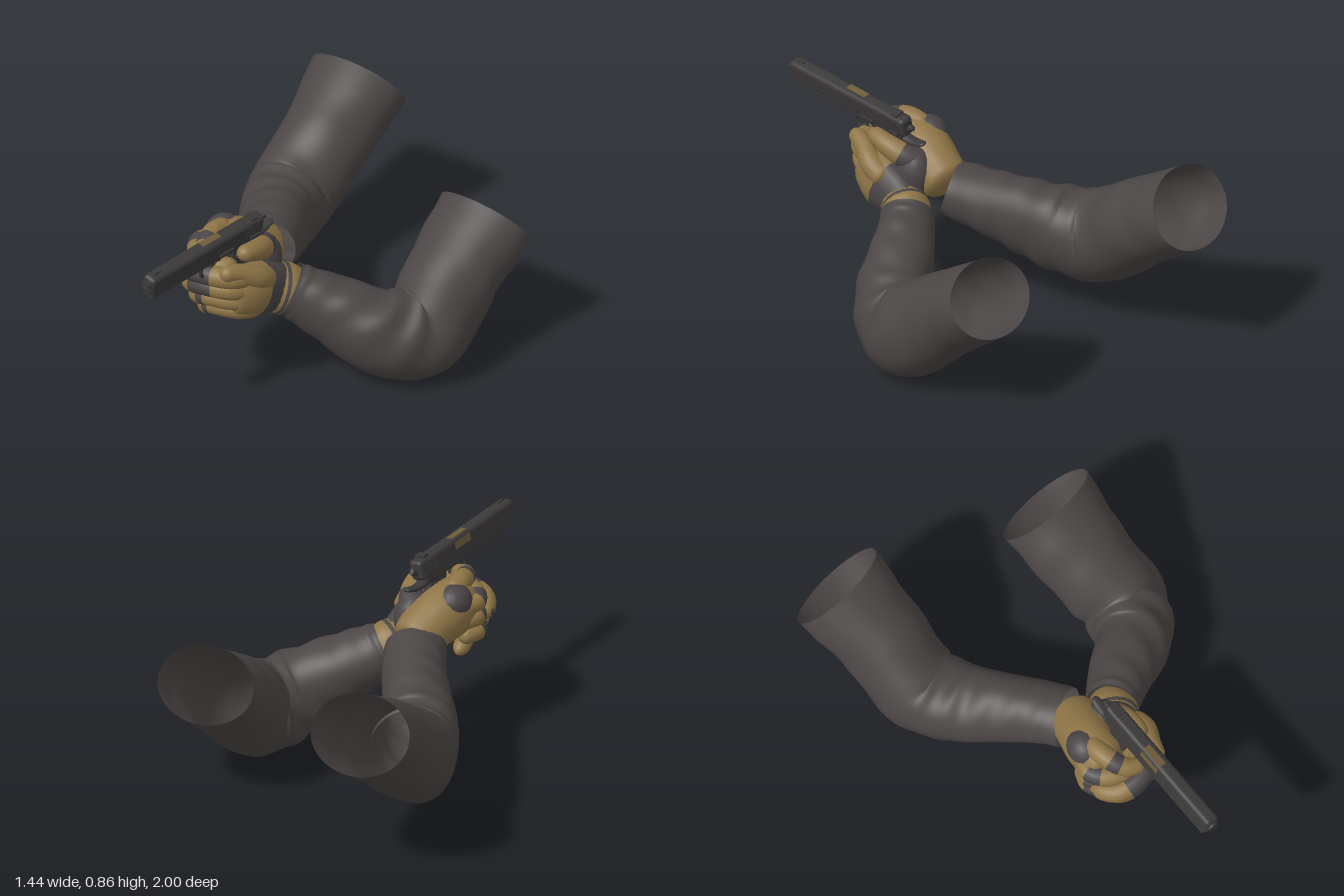
import * as THREE from 'three';
import { RoundedBoxGeometry } from 'three/addons/geometries/RoundedBoxGeometry.js';

const mat = (name, color, side = THREE.FrontSide) => {
  const m = new THREE.MeshStandardMaterial({ color, side });
  m.name = name;
  return m;
};

// Elliptical sweep through rows of [x, y, z, halfWidth, halfHeight].
// round closes the ends; band(u) picks a material; ripple(u, angle) adds folds.
function sweep(rows, { rings = 24, sides = 16, round = 0, band, ripple = () => 0 } = {}) {
  const path = new THREE.CatmullRomCurve3(rows.map(r => new THREE.Vector3(r[0], r[1], r[2])));
  const size = new THREE.CatmullRomCurve3(rows.map(r => new THREE.Vector3(r[3], r[4] ?? r[3], 0)));
  const up = new THREE.Vector3(0, 1, 0), pos = [], index = [];
  const geo = new THREE.BufferGeometry();
  for (let i = 0; i <= rings; i++) {
    const u = round ? (1 - Math.cos(Math.PI * i / rings)) / 2 : i / rings;
    const c = path.getPoint(u), t = path.getTangent(u), s = size.getPoint(u);
    const side = t.clone().cross(up).normalize(), top = side.clone().cross(t);
    const e = round ? Math.min(1, Math.min(u, 1 - u) / round) : 1;
    const cap = Math.max(0.001, Math.sqrt(1 - (1 - e) ** 2));
    for (let j = 0; j < sides; j++) {
      const a = j / sides * Math.PI * 2, w = ripple(u, a);
      const p = c.clone().addScaledVector(side, Math.cos(a) * (s.x * cap + w))
        .addScaledVector(top, Math.sin(a) * (s.y * cap + w));
      pos.push(p.x, p.y, p.z);
    }
  }
  for (let i = 0; i < rings; i++) {
    if (band) {
      const v = (i + 0.5) / rings;
      geo.addGroup(index.length, sides * 6, band(round ? (1 - Math.cos(Math.PI * v)) / 2 : v));
    }
    for (let j = 0; j < sides; j++) {
      const a = i * sides + j, b = i * sides + (j + 1) % sides, c = a + sides, d = b + sides;
      index.push(a, c, b, b, c, d);
    }
  }
  geo.setAttribute('position', new THREE.Float32BufferAttribute(pos, 3));
  geo.setIndex(index);
  geo.computeVertexNormals();
  return geo;
}

export function createModel() {
  const model = new THREE.Group();
  model.name = 'armsHoldingPistol';
  const cloth = mat('sleeveCloth', 0x4c4646, THREE.DoubleSide);
  const dark = mat('gloveDark', 0x4a4546);
  const tan = mat('gloveTan', 0x8f7547);
  const steel = mat('gunSteel', 0x3c3939);
  const brass = mat('ejectionPort', 0x6f5d3a);
  const add = (parent, name, geo, material, x = 0, y = 0, z = 0) => {
    const m = new THREE.Mesh(geo, material);
    m.name = name;
    m.position.set(x, y, z);
    parent.add(m);
    return m;
  };

  // Sleeves, open at the shoulder and wrist, with slanting folds
  const folds = seed => (u, a) => {
    const bunch = 0.3 + 0.7 * Math.exp(-(((u - 0.42) / 0.2) ** 2));
    const patch = 0.5 + 0.5 * Math.sin(a * 2 + 5 * u + seed);
    return 0.009 * bunch * patch * Math.sin(48 * u + 3 * Math.sin(a + seed) + seed)
      + 0.005 * Math.sin(3 * a + 9 * u + seed) * Math.sin(Math.PI * u);
  };
  const sleeve = (name, rows, seed) => add(model, name,
    sweep(rows, { rings: 100, sides: 56, ripple: folds(seed) }), cloth);
  sleeve('leftSleeve', [
    [0.47, 0.545, -0.665, 0.23, 0.172], [0.49, 0.385, -0.44, 0.208, 0.185],
    [0.52, 0.215, -0.2, 0.19, 0.212], [0.44, 0.245, -0.04, 0.165, 0.195],
    [0.28, 0.35, 0.08, 0.14, 0.155], [0.17, 0.42, 0.165, 0.12, 0.128],
    [0.13, 0.445, 0.2, 0.115, 0.12]], 0.6);
  sleeve('rightSleeve', [
    [-0.49, 0.70, -0.895, 0.23, 0.18], [-0.45, 0.54, -0.65, 0.2, 0.19],
    [-0.425, 0.37, -0.4, 0.19, 0.205], [-0.34, 0.385, -0.24, 0.17, 0.19],
    [-0.24, 0.44, -0.11, 0.15, 0.16], [-0.14, 0.49, 0.02, 0.138, 0.135],
    [-0.065, 0.53, 0.14, 0.132, 0.12]], 2.1);

  const gloves = new THREE.Group();
  gloves.name = 'gloves';
  model.add(gloves);
  const two = [tan, dark];
  const glove = (name, rows, band, round = 0.12) => add(gloves, name,
    sweep(rows, { rings: 32, sides: 18, round, band }), two);
  const pad = (name, x, y, z, sx, sy, sz, material = dark) =>
    add(gloves, name, new THREE.SphereGeometry(1, 18, 12), material, x, y, z).scale.set(sx, sy, sz);

  // Wrist band
  glove('leftWristBand', [[0.16, 0.425, 0.165, 0.095], [0.12, 0.45, 0.22, 0.108, 0.118], [0.09, 0.47, 0.27, 0.095, 0.11]],
    u => (u > 0.6 && u < 0.72 ? 1 : 0), 0.05);

  // Palms
  glove('leftPalm', [[0.1, 0.46, 0.2, 0.08, 0.09], [0.1, 0.49, 0.3, 0.085, 0.12],
    [0.1, 0.53, 0.41, 0.085, 0.125], [0.06, 0.55, 0.51, 0.075, 0.11]], u => (u < 0.53 ? 1 : 0), 0.16);
  glove('rightPalm', [[-0.05, 0.54, 0.12, 0.1, 0.1], [-0.06, 0.59, 0.22, 0.115, 0.115],
    [-0.09, 0.63, 0.34, 0.115, 0.13], [-0.08, 0.63, 0.47, 0.1, 0.12]], () => 0, 0.14);
  pad('rightPalmHeel', 0.03, 0.59, 0.27, 0.085, 0.12, 0.1);
  pad('rightKnuckleGuard', -0.13, 0.69, 0.335, 0.075, 0.075, 0.085);

  // Left fingers wrap across the front, over the right hand, drooping to the tips
  for (let i = 0; i < 4; i++) {
    const y = 0.635 - i * 0.062, f = -i * i * 0.006, r = 0.044 - i * 0.002, tip = -0.2 + i * 0.033;
    glove('leftFinger' + (i + 1), [[0.13, y - 0.02, 0.43 + f, r], [0.085, y, 0.53 + f, r * 1.05],
      [-0.02, y, 0.575 + f, r * 1.04], [tip * 0.65, y - 0.025, 0.56 + f, r * 1.05], [tip, y - 0.055, 0.46 + f, r * 0.92]],
    u => ((i < 2 && u > 0.4 && u < 0.64) || (i > 1 && u > 0.5 && u < 0.6) ? 1 : 0));
    pad('leftFingerKnuckle', 0.105, y, 0.5 + f, 0.034, 0.028, 0.034);
    pad('leftFingertipPad', tip + 0.015, y - 0.045, 0.5 + f, 0.035, 0.026, 0.03);
  }
  // Right fingers close around the grip
  for (let i = 0; i < 3; i++) {
    const y = 0.66 - i * 0.07;
    glove('rightFinger' + (i + 1), [[-0.15, y, 0.34, 0.043], [-0.18, y, 0.42, 0.043],
      [-0.12, y, 0.5, 0.045], [0, y, 0.515, 0.04], [0.07, y, 0.46, 0.038]],
    u => (u > 0.26 && u < 0.42 ? 1 : 0));
  }
  glove('rightTriggerFinger', [[-0.11, 0.72, 0.33, 0.045], [-0.1, 0.735, 0.43, 0.047],
    [-0.06, 0.715, 0.52, 0.042], [0.02, 0.69, 0.555, 0.034]], u => (u > 0.45 && u < 0.58 ? 1 : 0));

  // Thumbs lie along the left side of the frame
  glove('rightThumb', [[0, 0.63, 0.23, 0.06], [0.06, 0.67, 0.29, 0.055],
    [0.09, 0.705, 0.37, 0.046], [0.09, 0.73, 0.47, 0.034]], u => (u < 0.42 ? 1 : 0));
  glove('leftThumb', [[0.13, 0.56, 0.33, 0.055], [0.14, 0.61, 0.41, 0.05],
    [0.11, 0.655, 0.49, 0.042], [0.085, 0.68, 0.58, 0.034]], () => 0);

  // Pistol, rolled slightly toward the left
  const gun = new THREE.Group();
  gun.name = 'pistol';
  gun.position.set(0.036, 0.785, 0);
  gun.rotation.z = -0.2;
  model.add(gun);
  const box = (name, w, h, d, x, y, z, material = steel) =>
    add(gun, name, new THREE.BoxGeometry(w, h, d), material, x, y, z);
  add(gun, 'slide', new RoundedBoxGeometry(0.068, 0.092, 0.7, 3, 0.02), steel, 0, 0.016, 0.64);
  add(gun, 'frame', new RoundedBoxGeometry(0.062, 0.05, 0.66, 2, 0.012), steel, 0, -0.032, 0.645);
  add(gun, 'barrel', new THREE.CylinderGeometry(0.024, 0.024, 0.04, 20), steel, 0, 0.02, 0.98).rotation.x = Math.PI / 2;
  box('frontSight', 0.01, 0.014, 0.035, 0, 0.063, 0.94);
  box('rearSight', 0.045, 0.016, 0.035, 0, 0.064, 0.35);
  box('ejectionPortTop', 0.03, 0.006, 0.11, -0.008, 0.061, 0.6, brass);
  box('ejectionPortSide', 0.006, 0.032, 0.11, -0.0325, 0.028, 0.6, brass);
  for (const s of [-1, 1]) {
    for (let i = 0; i < 7; i++) box('slideSerration', 0.005, 0.055, 0.006, s * 0.033, 0.016, 0.32 + i * 0.014);
    box('gripPanel', 0.012, 0.2, 0.09, s * 0.03, -0.17, 0.38).rotation.x = 0.25;
  }
  box('slideCatch', 0.012, 0.014, 0.08, 0.034, -0.025, 0.52);
  box('safetyLever', 0.014, 0.014, 0.05, 0.036, -0.02, 0.35);
  box('grip', 0.055, 0.27, 0.11, 0, -0.17, 0.375).rotation.x = 0.25;
  add(gun, 'beavertail', sweep([[0, -0.05, 0.36, 0.027, 0.022], [0, -0.052, 0.27, 0.024, 0.015],
    [0, -0.034, 0.2, 0.018, 0.008]], { round: 0.1 }), steel);
  add(gun, 'hammer', sweep([[0, 0, 0.31, 0.012, 0.015], [0, 0.018, 0.275, 0.012, 0.014],
    [0, 0.03, 0.26, 0.012, 0.016]], { round: 0.1 }), steel);
  const guard = add(gun, 'triggerGuard', new THREE.TorusGeometry(0.055, 0.009, 8, 28), steel, 0, -0.095, 0.575);
  guard.rotation.y = Math.PI / 2;
  box('trigger', 0.014, 0.06, 0.014, 0, -0.08, 0.56).rotation.x = -0.2;

  return model;
}
